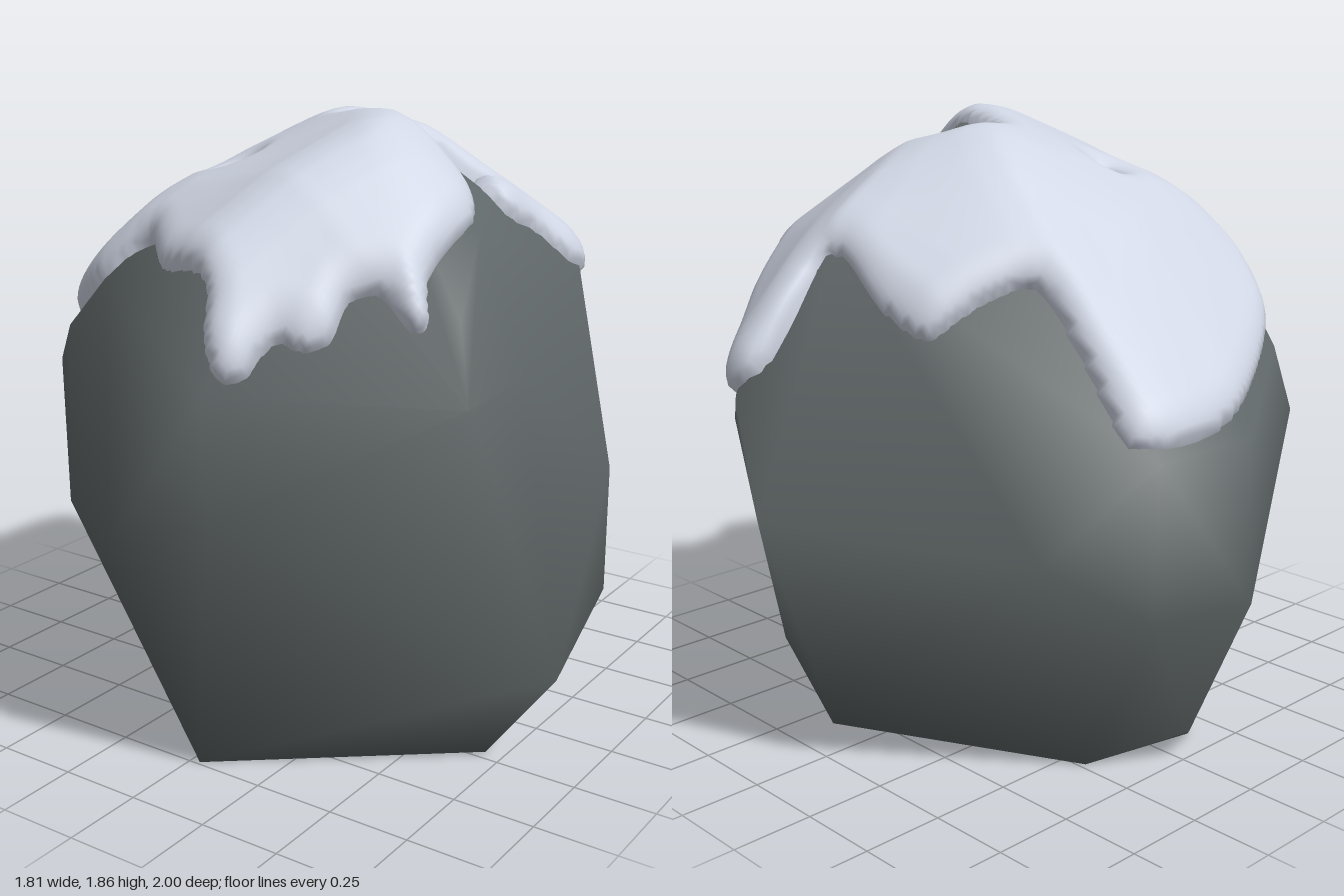
import * as THREE from 'three';
import { ConvexGeometry } from 'three/addons/geometries/ConvexGeometry.js';
import { mergeVertices } from 'three/addons/utils/BufferGeometryUtils.js';

// Corners of the boulder, from the base upwards
const CORNERS = [
  [0.03, 0, 0.74], [0.7, 0.01, 0.23], [0.57, 0.01, -0.31], [0.16, 0, -0.6], [-0.57, 0, -0.23], [-0.65, 0, 0.14],
  [-0.77, 0.1, 0], [0.91, 0.29, 0.21], [-0.06, 0.25, -0.8], [0, 0.42, -0.88], [-0.9, 0.51, 0.1], [-0.89, 0.55, -0.3], [0.89, 0.45, -0.13],
  [0.8, 1.16, 0.56], [0.23, 0.85, 0.93], [-0.04, 0.76, 1], [-0.38, 0.75, 0.8], [-0.81, 1.02, 0.37], [-0.74, 0.75, -0.59], [-0.06, 0.81, -1],
  [0.16, 1.04, -0.91], [0.48, 1.1, -0.67], [0.85, 0.8, -0.22],
  [-0.89, 1, 0.08], [-0.89, 1, -0.3], [0.22, 1.19, 0.92], [0.8, 1.18, 0.25], [-0.67, 1.17, 0.47], [0.14, 1.1, -0.92], [0.66, 1.37, -0.35],
  [0.69, 1.36, 0.42], [0.62, 1.55, 0.2], [0.52, 1.6, -0.06], [0.22, 1.81, 0.01], [0.34, 1.79, 0.25], [-0.1, 1.74, -0.15],
  [-0.4, 1.53, 0.1], [-0.25, 1.57, 0.42], [-0.36, 1.38, 0.64], [0.22, 1.68, 0.5], [0.1, 1.48, 0.75], [0.1, 1.66, -0.4], [0.1, 1.54, -0.58],
  [0.47, 1.24, -0.62],
];

// Plan outline of the snow cap (x, z)
const OUTLINE = [
  [0.2, -0.88], [0.26, -0.84], [0.34, -0.75], [0.45, -0.62], [0.51, -0.52], [0.57, -0.42], [0.64, -0.39], [0.65, -0.3], [0.59, -0.2], [0.56, -0.06],
  [0.5, -0.03], [0.43, -0.09], [0.4, -0.18], [0.25, -0.19], [0.12, -0.16], [0.06, -0.06], [0.1, 0], [0.3, 0.07], [0.53, 0.12], [0.59, 0.2],
  [0.59, 0.42], [0.64, 0.5], [0.6, 0.54], [0.52, 0.53], [0.45, 0.59], [0.45, 0.66], [0.4, 0.72], [0.33, 0.75], [0.29, 0.85], [0.23, 0.88],
  [0.17, 0.85], [0.12, 0.77], [-0.08, 0.7], [-0.17, 0.62], [-0.24, 0.56], [-0.4, 0.59], [-0.56, 0.52], [-0.65, 0.43], [-0.77, 0.22], [-0.85, 0.02],
  [-0.86, -0.25], [-0.8, -0.33], [-0.6, -0.3], [-0.4, -0.28], [-0.33, -0.38], [-0.25, -0.54], [-0.1, -0.59], [0.09, -0.61], [0.09, -0.75], [0.12, -0.86],
];

// Height of the boulder's upper faces at (x, z): the lowest of their planes
function makeHeight(hull) {
  const p = hull.attributes.position, planes = [];
  const tri = new THREE.Triangle(), n = new THREE.Vector3();
  for (let i = 0; i < p.count; i += 3) {
    tri.setFromAttributeAndIndices(p, i, i + 1, i + 2);
    tri.getNormal(n);
    if (n.y > 0.4) planes.push([n.x / n.y, n.z / n.y, n.dot(tri.a) / n.y]);
  }
  return (x, z) => planes.reduce((low, [a, b, d]) => Math.min(low, d - a * x - b * z), Infinity);
}

// Signed distance to the snow outline, positive inside
function makeDistance() {
  const pts = new THREE.CatmullRomCurve3(OUTLINE.map(([x, z]) => new THREE.Vector3(x, 0, z)), true).getPoints(200);
  return (x, z) => {
    let best = Infinity, inside = false;
    for (let i = 0; i < pts.length - 1; i++) {
      const a = pts[i], b = pts[i + 1], dx = b.x - a.x, dz = b.z - a.z;
      const t = THREE.MathUtils.clamp(((x - a.x) * dx + (z - a.z) * dz) / (dx * dx + dz * dz || 1), 0, 1);
      best = Math.min(best, Math.hypot(x - a.x - t * dx, z - a.z - t * dz));
      if ((a.z > z) !== (b.z > z) && x < a.x + ((z - a.z) / dz) * dx) inside = !inside;
    }
    // small melted hole
    const hole = Math.hypot(x + 0.14, z - 0.255) - 0.035;
    return Math.min(inside ? best : -best, hole);
  };
}

// Rounded layer draped over the boulder, its rim sinking into the stone
function snowGeometry(height, distance) {
  const N = 140, pos = [], dist = [], index = [], e = 0.08, step = 0.004;
  const n = new THREE.Vector3();
  for (let j = 0; j <= N; j++) {
    for (let i = 0; i <= N; i++) {
      let x = -1 + (2 * i) / N, z = -1 + (2 * j) / N;
      const d = distance(x, z);
      // vertices just outside are pulled back onto the outline
      if (d < 0 && d > -0.03) {
        const gx = (distance(x + step, z) - d) / step, gz = (distance(x, z + step) - d) / step;
        x -= gx * d;
        z -= gz * d;
      }
      const h = height(x, z);
      const l = height(x - e, z), r = height(x + e, z), b = height(x, z - e), f = height(x, z + e);
      n.set((l - r) / (2 * e), 1, (b - f) / (2 * e)).normalize();
      const u = 1 - Math.min(Math.max(d, 0) / 0.09, 1);
      const thick = 0.075 + 0.012 * Math.sin(6 * x + 1) * Math.cos(7 * z);
      const lift = d > 0 ? thick * Math.sqrt(1 - u * u) : -0.03;
      const y = 0.4 * h + 0.15 * (l + r + b + f);
      pos.push(x + n.x * lift * 0.9, y + n.y * lift, z + n.z * lift * 0.9);
      dist.push(d);
    }
  }
  for (let j = 0; j < N; j++) {
    for (let i = 0; i < N; i++) {
      const a = j * (N + 1) + i, b = a + 1, c = a + N + 1, d = c + 1;
      for (const t of [[a, c, b], [b, c, d]]) {
        if (t.some((k) => dist[k] > 0)) index.push(...t);
      }
    }
  }
  const g = new THREE.BufferGeometry();
  g.setAttribute('position', new THREE.Float32BufferAttribute(pos, 3));
  g.setIndex(index);
  g.computeVertexNormals();
  return g;
}

// Welds the corners so the boulder shades smoothly
function smooth(hull) {
  const g = hull.clone();
  g.deleteAttribute('normal');
  const welded = mergeVertices(g);
  welded.computeVertexNormals();
  return welded;
}

export function createModel() {
  const stone = new THREE.MeshStandardMaterial({ color: 0x616869 });
  stone.name = 'dark stone';
  const white = new THREE.MeshStandardMaterial({ color: 0xd0d6e4, side: THREE.DoubleSide });
  white.name = 'snow white';

  const group = new THREE.Group();
  group.name = 'snowyBoulder';

  const hull = new ConvexGeometry(CORNERS.map((c) => new THREE.Vector3(...c)));
  const boulder = new THREE.Mesh(smooth(hull), stone);
  boulder.name = 'boulder';

  const snow = new THREE.Mesh(snowGeometry(makeHeight(hull), makeDistance()), white);
  snow.name = 'snowCap';

  group.add(boulder, snow);
  return group;
}
